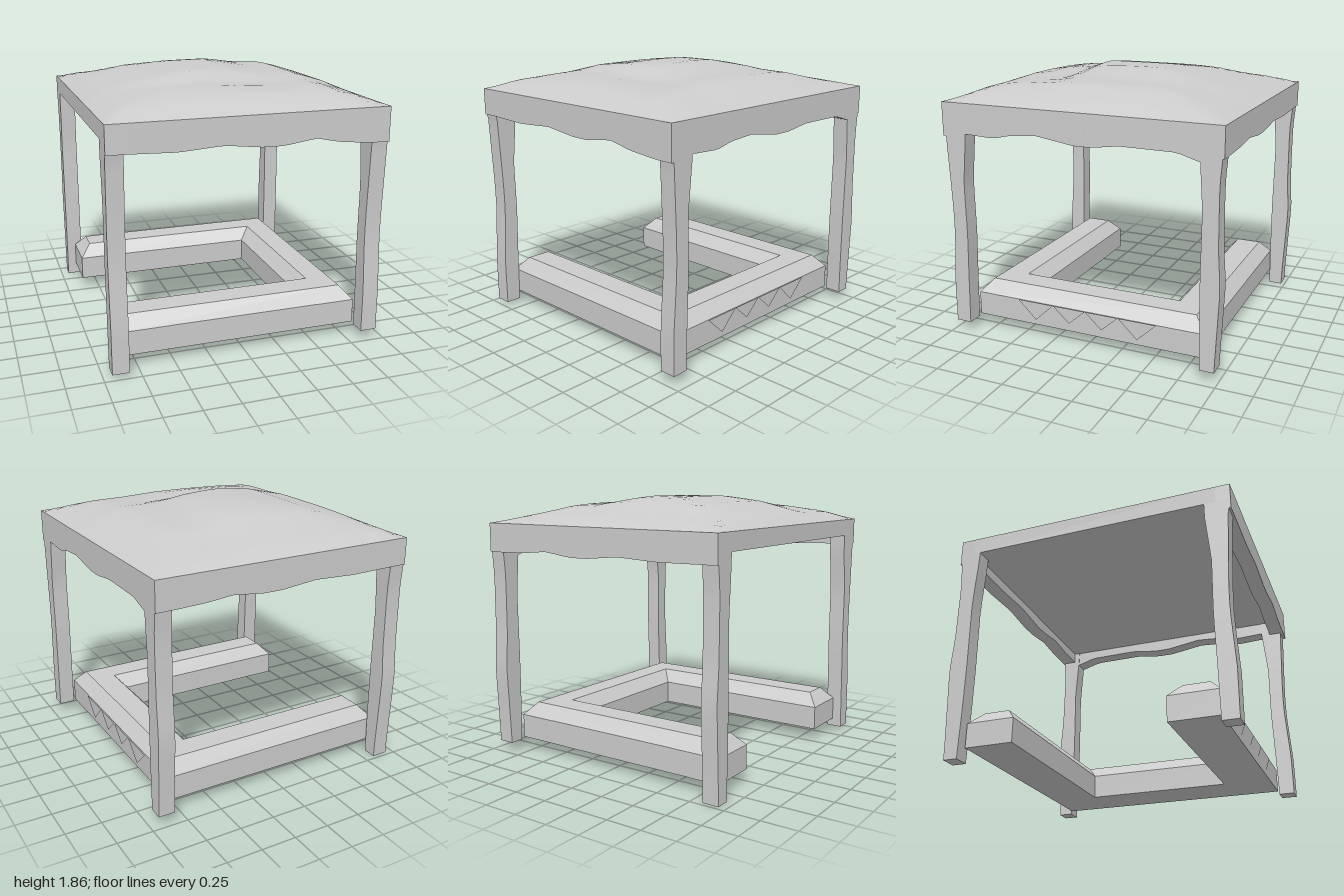
import * as THREE from 'three';

const grey = new THREE.MeshStandardMaterial({ color: 0xcccccc, side: THREE.DoubleSide });

// Linear interpolation through [position, value] pairs in rising order
function along(points, t) {
  if (t <= points[0][0]) return points[0][1];
  for (let i = 1; i < points.length; i++) {
    const [a, u] = points[i - 1], [b, v] = points[i];
    if (t <= b) return u + (v - u) * (t - a) / (b - a);
  }
  return points[points.length - 1][1];
}

// Moves every vertex of a geometry by a rule
function bend(geometry, rule) {
  const p = geometry.attributes.position;
  const v = new THREE.Vector3();
  for (let i = 0; i < p.count; i++) {
    v.fromBufferAttribute(p, i);
    rule(v);
    p.setXYZ(i, v.x, v.y, v.z);
  }
  geometry.computeVertexNormals();
  return geometry;
}

function add(group, name, geometry) {
  const mesh = new THREE.Mesh(geometry, grey);
  mesh.name = name;
  group.add(mesh);
  return mesh;
}

const HX = 0.945, HZ = 1, RIM = 1.67, CEILING = 1.55, THICK = 0.11;

// Crooked post: outer and inner z edges vary with height
const frontOuter = [[0, 0.98], [0.36, 0.98], [0.75, 0.955], [0.95, 0.957], [1.46, 0.98], [1.55, 0.998]];
const frontInner = [[0, 0.87], [0.42, 0.86], [0.74, 0.85], [1.11, 0.855], [1.46, 0.82], [1.55, 0.82]];
const backOuter = [[0, 0.972], [0.12, 0.975], [0.64, 0.998], [0.88, 0.98], [1.3, 0.975], [1.55, 0.995]];
const backInner = [[0, 0.875], [0.3, 0.868], [0.66, 0.865], [1.14, 0.87], [1.43, 0.85], [1.55, 0.845]];

function post(sideX, front, bottom) {
  const outer = front ? frontOuter : backOuter, inner = front ? frontInner : backInner;
  return bend(new THREE.BoxGeometry(1, 1, 1, 1, 14, 1), v => {
    const y = bottom + (v.y + 0.5) * (CEILING - bottom);
    const isOuter = (v.z > 0) === front;
    v.set(sideX * 0.8875 + v.x * 0.115, y, (front ? 1 : -1) * along(isOuter ? outer : inner, y));
  });
}

// Valance: a thick strip along x with a wavy lower hem
function valance(length, hem) {
  return bend(new THREE.BoxGeometry(length, 1, THICK, 40, 1, 1), v => {
    v.y = v.y > 0 ? RIM : along(hem, v.x);
  });
}
const frontHem = [[-0.83, 1.482], [-0.5, 1.47], [-0.2, 1.49], [0.06, 1.46], [0.2, 1.46], [0.42, 1.492], [0.6, 1.455], [0.83, 1.435]];
const backHem = [[-0.83, 1.48], [-0.5, 1.475], [-0.2, 1.49], [0.06, 1.465], [0.2, 1.465], [0.42, 1.492], [0.6, 1.475], [0.83, 1.468]];
const sideHem = [[-0.85, 1.435], [-0.7, 1.48], [-0.32, 1.483], [-0.12, 1.455], [0, 1.455], [0.27, 1.495],
  [0.47, 1.48], [0.6, 1.45], [0.82, 1.46]];

// Sagging cloth roof, its height blended from two profiles
const roofX = [[-HX, 0], [-0.83, 0.07], [-0.5, 0.15], [-0.2, 0.185], [0.08, 0.19], [0.36, 0.14], [0.6, 0.128], [0.83, 0.055], [HX, 0]];
const roofZ = [[-HZ, 0], [-0.87, 0.05], [-0.7, 0.09], [-0.5, 0.15], [-0.33, 0.18], [-0.15, 0.19], [0.27, 0.19],
  [0.45, 0.13], [0.6, 0.125], [0.82, 0.09], [HZ, 0]];
function roof() {
  const g = new THREE.PlaneGeometry(HX * 2, HZ * 2, 26, 28).rotateX(-Math.PI / 2);
  return bend(g, v => {
    const a = along(roofX, v.x), b = along(roofZ, v.z);
    const dent = 0.025 * Math.exp(-((v.x - 0.15) ** 2 + (v.z - 0.38) ** 2) / 0.05);
    v.y = RIM + Math.max(0, 0.5 * (a * b / 0.19 + Math.min(a, b)) - dent * Math.min(1, b / 0.1));
  });
}

// U-shaped counter, open towards -x; inset shrinks the outline for the bevel
function counterOutline(inset) {
  const e = -0.88 + inset, o = 0.82 - inset, i = 0.49 + inset;
  const z = 0.86 - inset, w = 0.52 + inset;
  return [[e, z], [o, z], [o, -z], [e, -z], [e, -w], [i, -w], [i, w], [e, w]]
    .map(p => new THREE.Vector2(...p));
}
function counter() {
  const rings = [[0, 0.09], [0, 0.26], [0.08, 0.35]].map(([inset, y]) =>
    counterOutline(inset).map(p => new THREE.Vector3(p.x, y, p.y)));
  const corners = [];
  const tri = (...t) => t.forEach(p => corners.push(p.x, p.y, p.z));
  for (let r = 0; r < 2; r++) {
    for (let k = 0; k < 8; k++) {
      const n = (k + 1) % 8, lo = rings[r], hi = rings[r + 1];
      tri(lo[k], lo[n], hi[n]);
      tri(lo[k], hi[n], hi[k]);
    }
  }
  // Top and underside, each split into three bars with mitred corners
  const quad = (ring, a, b, c, d, flip) => {
    const q = [a, b, c, d].map(n => ring[n]);
    if (flip) q.reverse();
    tri(q[0], q[1], q[2]);
    tri(q[0], q[2], q[3]);
  };
  for (const [ring, flip] of [[rings[2], false], [rings[0], true]]) {
    quad(ring, 0, 1, 6, 7, flip);
    quad(ring, 1, 2, 5, 6, flip);
    quad(ring, 2, 3, 4, 5, flip);
  }
  const g = new THREE.BufferGeometry();
  g.setAttribute('position', new THREE.Float32BufferAttribute(corners, 3));
  g.computeVertexNormals();
  return g;
}

// Row of four hanging pennants, facing +z
function pennants() {
  const edges = [-0.53, -0.25, 0, 0.25, 0.53], tips = [0.13, 0.15, 0.15, 0.13];
  const shapes = tips.map((tip, i) => new THREE.Shape([
    new THREE.Vector2(edges[i], 0.262),
    new THREE.Vector2((edges[i] + edges[i + 1]) / 2, tip),
    new THREE.Vector2(edges[i + 1], 0.262),
  ]));
  return new THREE.ShapeGeometry(shapes);
}

export function createModel() {
  const model = new THREE.Group();
  model.name = 'marketStall';

  // Four posts, standing at slightly different depths
  add(model, 'frontLeftPost', post(1, true, 0.07));
  add(model, 'backLeftPost', post(1, false, 0.07));
  add(model, 'frontRightPost', post(-1, true, 0.03));
  add(model, 'backRightPost', post(-1, false, 0));

  // Canopy: roof, ceiling slab and three valances
  const canopy = new THREE.Group();
  canopy.name = 'canopy';
  model.add(canopy);
  add(canopy, 'roof', roof());
  const slab = add(canopy, 'ceiling', new THREE.BoxGeometry(1.8, RIM - CEILING, 1.8));
  slab.position.set(-HX + 0.9, (RIM + CEILING) / 2, 0);
  add(canopy, 'frontValance', valance(HX * 2, frontHem)).position.z = HZ - THICK / 2;
  add(canopy, 'backValance', valance(HX * 2, backHem)).position.z = -HZ + THICK / 2;
  // Turned so that its local -x end lies at the front
  const side = add(canopy, 'sideValance', valance(1.8, sideHem.map(([z, y]) => [-z, y]).reverse()));
  side.rotation.y = Math.PI / 2;
  side.position.x = HX - THICK / 2;

  // Counter with pennants on its three outer faces
  add(model, 'counter', counter());
  add(model, 'frontPennants', pennants()).position.z = 0.862;
  const back = add(model, 'backPennants', pennants());
  back.rotation.y = Math.PI;
  back.position.z = -0.862;
  const sidePennants = add(model, 'sidePennants', pennants());
  sidePennants.rotation.y = Math.PI / 2;
  sidePennants.position.x = 0.83;
  return model;
}
